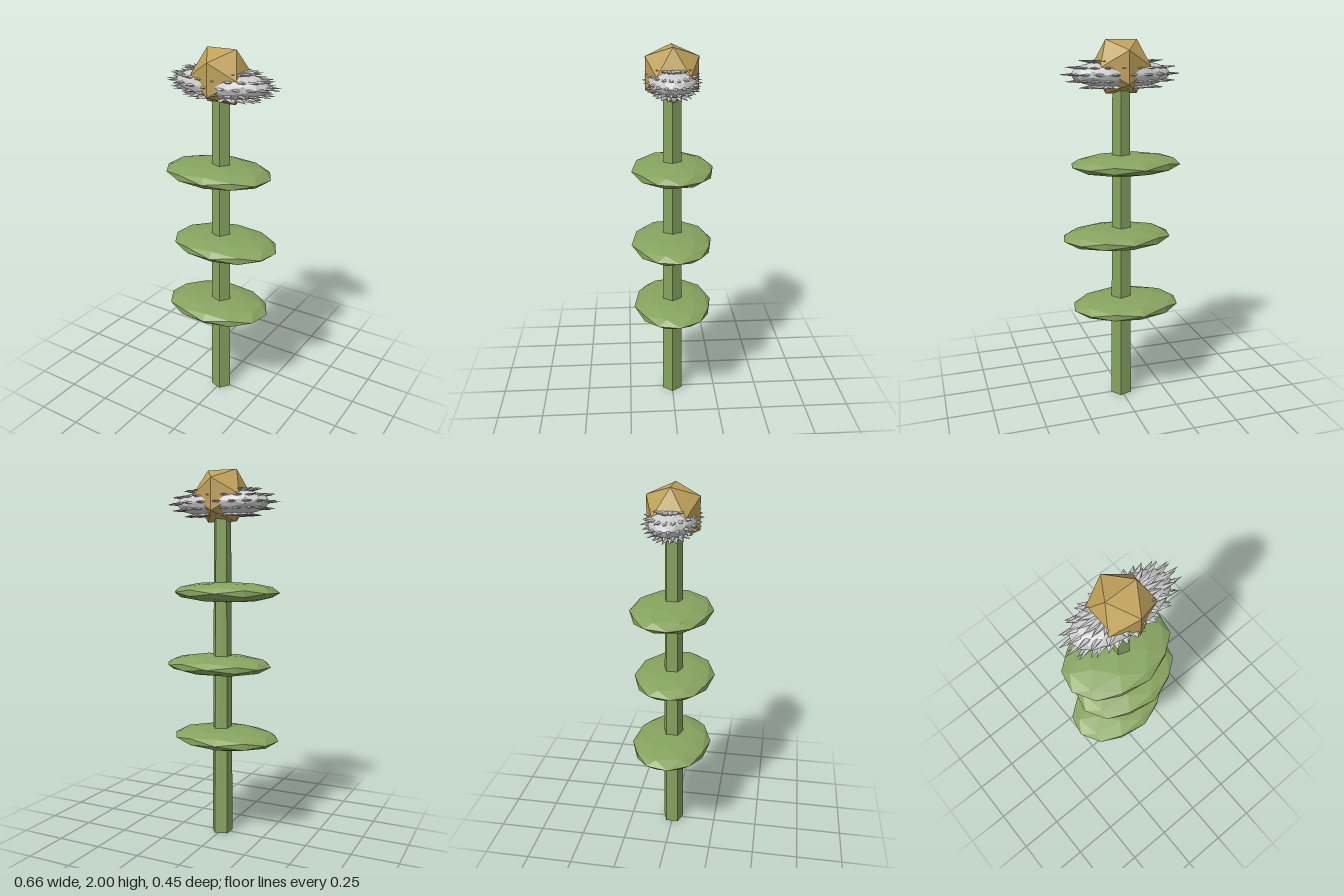
import * as THREE from 'three';
import { mergeGeometries } from 'three/addons/utils/BufferGeometryUtils.js';

const flat = (color) => new THREE.MeshStandardMaterial({ color, flatShading: true });

function part(name, geometry, material, parent) {
  const mesh = new THREE.Mesh(geometry, material);
  mesh.name = name;
  parent.add(mesh);
  return mesh;
}

// Flattened faceted leaf, its pointed end towards -x
function leafGeometry() {
  const g = new THREE.IcosahedronGeometry(1, 1);
  g.rotateY(0.12);
  g.scale(0.305, 0.056, 0.222);
  g.translate(-0.025, 0, -0.004);
  return g;
}

// Ring of shards on a unit shape; tips at height h and radius r
function shardRing(h, r, count, offset) {
  const up = new THREE.Vector3(0, 1, 0);
  const shards = [];
  for (let i = 0; i < count; i++) {
    const a = ((i + offset) / count) * Math.PI * 2;
    const tip = new THREE.Vector3(Math.cos(a) * r, h, Math.sin(a) * r);
    const dir = new THREE.Vector3(Math.cos(a), h * 0.45, Math.sin(a)).normalize();
    const cone = new THREE.ConeGeometry(0.2, 0.5, 5, 1);
    cone.translate(0, -0.25, 0);
    cone.applyQuaternion(new THREE.Quaternion().setFromUnitVectors(up, dir));
    cone.translate(tip.x, tip.y, tip.z);
    shards.push(cone.toNonIndexed());
  }
  return shards;
}

// Spiky blossom: a rounded core covered in rows of shards, stretched along x
function blossomGeometry() {
  const core = new THREE.IcosahedronGeometry(0.84, 2);
  const pieces = [core];
  const rows = [[-0.8, 0.72, 0], [-0.42, 0.94, 0.5], [0, 1.03, 0], [0.42, 0.94, 0.5], [0.8, 0.72, 0]];
  for (const [h, r, offset] of rows) pieces.push(...shardRing(h, r, 19, offset));
  const g = mergeGeometries(pieces);
  g.scale(0.32, 0.087, 0.15);
  return g;
}

export function createModel() {
  const model = new THREE.Group();
  model.name = 'flower';
  const green = flat(0x86a35f);

  // Five-sided tapering stem with one edge towards +x
  const stem = part('stem', new THREE.CylinderGeometry(0.048, 0.06, 1.8, 5), green, model);
  stem.rotation.y = Math.PI / 2;
  stem.scale.setScalar(1);
  stem.position.y = 0.9;

  // Three leaf discs, the middle one turned around
  const leaf = leafGeometry();
  [0.553, 0.955, 1.355].forEach((y, i) => {
    const mesh = part('leaf', leaf, green, model);
    mesh.position.y = y;
    mesh.rotation.y = i === 1 ? Math.PI : 0;
  });

  // Petals and flower centre
  part('petals', blossomGeometry(), flat(0xcccccc), model).position.y = 1.827;
  part('flowerCentre', new THREE.IcosahedronGeometry(0.16, 0), flat(0xbfa15a), model).position.y = 1.864;

  return model;
}
